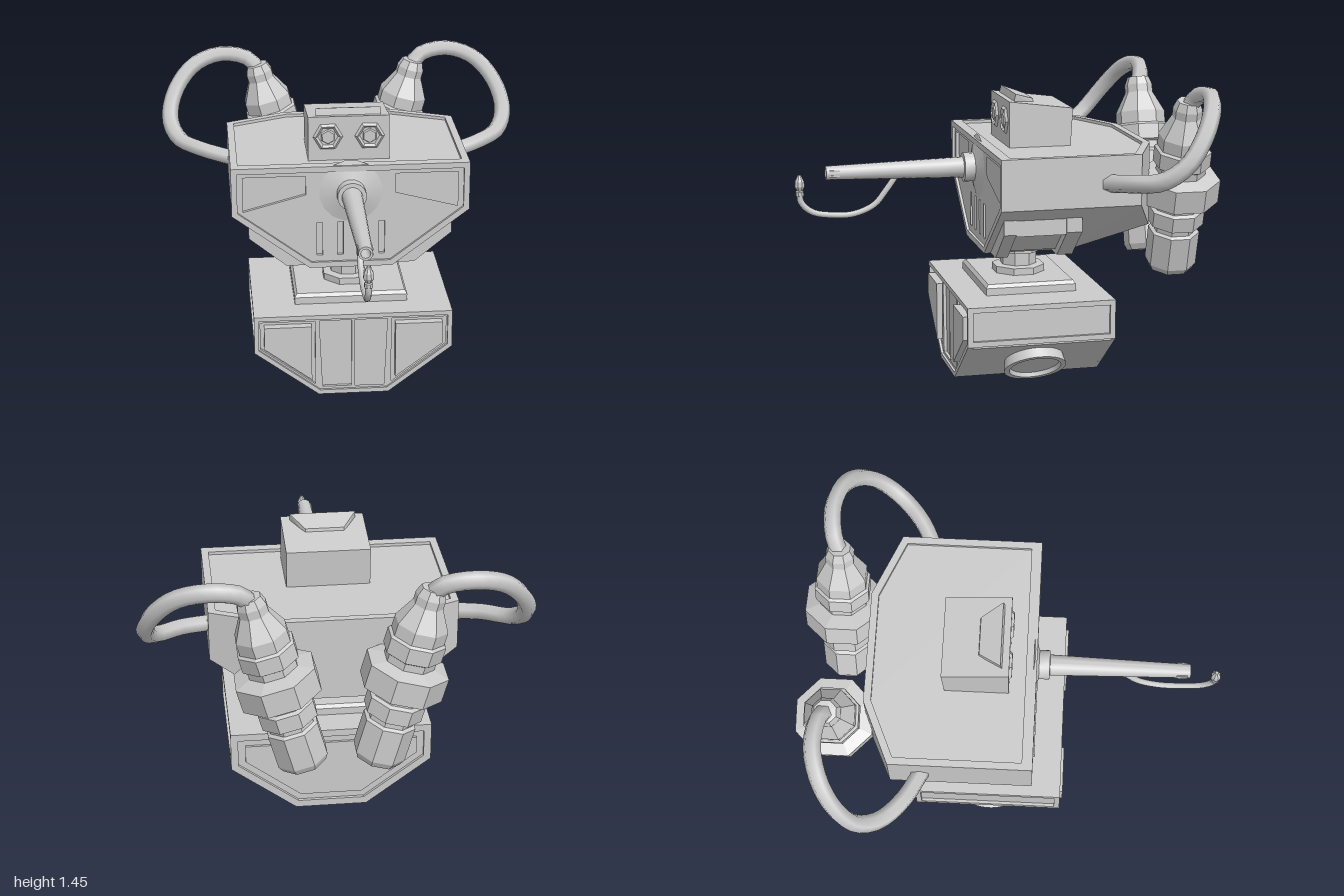
import * as THREE from 'three';
import { toCreasedNormals } from 'three/addons/utils/BufferGeometryUtils.js';
import { ConvexGeometry } from 'three/addons/geometries/ConvexGeometry.js';

const flat = new THREE.MeshStandardMaterial({ color: 0xcccccc, flatShading: true });
const smooth = new THREE.MeshStandardMaterial({ color: 0xcccccc });
const V2 = (p) => new THREE.Vector2(p[0], p[1]);
const V3 = (p) => new THREE.Vector3(...p);

// half outline (+x side) completed by its mirror image
const sym = (half) => [...half, ...half.map(([x, y]) => [-x, y]).reverse()];
const box2 = (x, y, w, h) => [[x - w / 2, y - h / 2], [x + w / 2, y - h / 2], [x + w / 2, y + h / 2], [x - w / 2, y + h / 2]];
const flipX = (pts, s) => pts.map(([x, y]) => [x * s, y]);

// move every edge of a convex outline inwards by d
function inset(pts, d) {
  let v = pts.map(V2);
  if (THREE.ShapeUtils.isClockWise(v)) v = v.reverse();
  const n = v.length;
  return v.map((p, i) => {
    const a = p.clone().sub(v[(i + n - 1) % n]).normalize();
    const b = v[(i + 1) % n].clone().sub(p).normalize();
    const k = d / (1 + a.dot(b));
    return [p.x - (a.y + b.y) * k, p.y + (a.x + b.x) * k];
  });
}

// slab from z0 to z1 with optional holes
function slab(pts, z0, z1, holes = []) {
  const shape = new THREE.Shape(pts.map(V2));
  shape.holes = holes.map((h) => new THREE.Path(h.map(V2)));
  return new THREE.ExtrudeGeometry(shape, { depth: z1 - z0, bevelEnabled: false }).translate(0, 0, z0);
}
const rim = (pts, z0, z1, w) => slab(pts, z0, z1, [inset(pts, w)]);
const hull = (half) => new ConvexGeometry(half.flatMap(([x, y, z]) => [V3([x, y, z]), V3([-x, y, z])]));
const lathe = (pts, sides) => new THREE.LatheGeometry(pts.map(V2), sides, Math.PI / sides);

export function createModel() {
  const model = new THREE.Group();
  const add = (name, geo, mat = flat, parent = model) => {
    const m = new THREE.Mesh(geo, mat);
    m.name = name;
    parent.add(m);
    return m;
  };

  // upper hull, chamfered towards the back
  add('upperHull', hull([
    [0.57, 1.155, 0.095], [0.57, 0.93, 0.095], [0.2, 0.65, 0.095],
    [0.57, 1.155, -0.54], [0.57, 0.93, -0.54], [0.2, 0.65, -0.3],
    [0.27, 1.155, -0.67], [0.27, 0.77, -0.67],
  ]));
  const topOutline = sym([[0.57, -0.11], [0.57, 0.54], [0.27, 0.67]]);
  add('topRim', rim(topOutline, 1.155, 1.17, 0.035).rotateX(-Math.PI / 2));
  const face = sym([[0.57, 1.17], [0.57, 0.93], [0.2, 0.65]]);
  const holes = [-0.15, -0.05, 0.05, 0.15].map((x) => box2(x, 0.795, 0.028, 0.17));
  for (const s of [1, -1]) holes.push(flipX([[0.215, 1.12], [0.515, 1.12], [0.515, 0.945], [0.215, 1.025]], s));
  add('frontPlate', slab(face, 0.095, 0.112, holes));
  add('frontRim', rim(face, 0.112, 0.125, 0.028));

  // head box with top flap and two hexagonal eyes
  add('head', hull([
    [0.195, 1.375, 0], [0.195, 1.155, 0], [0.195, 1.335, -0.31], [0.195, 1.155, -0.3],
  ]));
  add('headFlap', hull([
    [0.155, 1.36, -0.03], [0.155, 1.405, -0.04], [0.09, 1.372, -0.14], [0.09, 1.34, -0.145],
  ]));
  for (const s of [1, -1]) {
    add('eyeRing', new THREE.TorusGeometry(0.06, 0.012, 4, 6).translate(s * 0.1, 1.275, 0));
    add('eyeLens', new THREE.CylinderGeometry(0.032, 0.04, 0.016, 6).rotateX(Math.PI / 2).translate(s * 0.1, 1.275, 0.003));
  }

  // barrel with flared base, collar and hollow muzzle
  const barrel = [[0.16, 0.11], [0.085, 0.13], [0.07, 0.135], [0.07, 0.185], [0.05, 0.187],
    [0.047, 0.3], [0.033, 0.85], [0.022, 0.85], [0.02, 0.74], [0, 0.74]];
  add('barrel', toCreasedNormals(lathe(barrel, 16).rotateX(Math.PI / 2).translate(0, 1.035, 0), 0.6), smooth);
  for (const s of [1, -1]) for (const y of [1.023, 1.047])
    add('muzzleSlot', new THREE.BoxGeometry(0.008, 0.008, 0.05).translate(s * 0.031, y, 0.81));

  // curved feeler slung below the barrel
  const feeler = new THREE.CatmullRomCurve3([
    [0, 1.01, 0.51], [0, 0.94, 0.56], [0, 0.87, 0.62], [0, 0.83, 0.72],
    [0, 0.83, 0.83], [0, 0.85, 0.92], [0, 0.9, 0.97], [0, 0.95, 0.975],
  ].map(V3));
  add('feeler', new THREE.TubeGeometry(feeler, 28, 0.015, 8), smooth);
  add('feelerTip', lathe([[0, 0.925], [0.02, 0.93], [0.02, 0.95], [0.014, 0.955], [0.025, 0.975],
    [0.023, 1.0], [0.008, 1.03], [0, 1.032]], 8).translate(0, 0, 0.975));

  // neck and stepped base plate
  add('neck', lathe([[0.13, 0.5], [0.13, 0.545], [0.09, 0.55], [0.09, 0.61], [0.115, 0.615],
    [0.115, 0.635], [0.13, 0.64], [0.13, 0.68]], 8).translate(0, 0, -0.09));
  add('neckPlate', hull([0.13, -0.31].flatMap((z) => {
    const t = z > 0 ? -0.012 : 0.012;
    return [[0.275, 0.45, z], [0.275, 0.495, z], [0.263, 0.512, z + t]];
  })));

  // lower hull with framed front, back and sides
  const low = sym([[0.48, 0.46], [0.48, 0.27], [0.17, 0.035]]);
  add('lowerHull', slab(sym([[0.465, 0.46], [0.465, 0.2587], [0.17, 0.035]]), -0.435, 0.238));
  const centrePanel = [[0.008, 0.425], [0.165, 0.425], [0.15, 0.07], [0.008, 0.07]];
  const sidePanel = [[0.185, 0.425], [0.45, 0.425], [0.45, 0.285], [0.185, 0.085]];
  add('lowerFrontPlate', slab(low, 0.238, 0.253, [1, -1].flatMap((s) => [flipX(centrePanel, s), flipX(sidePanel, s)])));
  add('lowerFrontRim', rim(low, 0.253, 0.265, 0.022));
  add('lowerBackRim', rim(low, -0.45, -0.435, 0.035));
  add('lowerBackPanel', slab(inset(low, 0.07), -0.447, -0.434));

  for (const s of [1, -1]) {
    add('lowerFrontPanel', slab(flipX(inset(sidePanel, 0.018), s), 0.237, 0.278));
    const frame = rim(box2(0.0925, 0.365, 0.715, 0.19), -0.0075, 0.0075, 0.025);
    add('lowerSideFrame', frame.rotateY(Math.PI / 2).translate(s * 0.4725, 0, 0));

    // round dish on the slanted underside
    const dish = add('dish', toCreasedNormals(lathe([[0.14, -0.01], [0.15, 0.05], [0.125, 0.05], [0.118, 0.03], [0, 0.03]], 32), 0.5), smooth);
    dish.position.set(s * 0.325, 0.152, -0.09);
    dish.rotation.z = -s * (Math.PI - Math.atan2(0.31, 0.235) + Math.PI * 0.0 - 0.28);
    dish.quaternion.setFromUnitVectors(new THREE.Vector3(0, 1, 0), new THREE.Vector3(s * 0.604, -0.797, 0).normalize());

    // vent box below the shoulder: two cheeks, a lip and a recessed block
    const cheek = flipX([[0.45, 0.9], [0.49, 0.9], [0.49, 0.8], [0.31, 0.652], [0.2, 0.652]], s);
    add('ventCheek', slab(cheek, 0.035, 0.094));
    add('ventCheek', slab(cheek, -0.28, -0.205));
    add('ventBlock', slab(flipX([[0.45, 0.9], [0.485, 0.9], [0.485, 0.79], [0.42, 0.79], [0.28, 0.675], [0.2, 0.66]], s), -0.205, 0.035));

    // tilted octagonal canister behind the hull
    const k = 1 / Math.cos(Math.PI / 8);
    const profile = [[0, 0], [0.1, 0], [0.115, 0.03], [0.115, 0.2], [0.1, 0.21], [0.1, 0.235], [0.127, 0.245],
      [0.127, 0.32], [0.11, 0.33], [0.11, 0.365], [0.18, 0.375], [0.18, 0.49], [0.11, 0.51], [0.11, 0.545],
      [0.127, 0.555], [0.127, 0.63], [0.115, 0.64], [0.115, 0.7], [0.065, 0.8], [0.065, 0.84], [0.05, 0.88], [0, 0.885]];
    const canister = add('canister', lathe(profile.map(([r, y]) => [r * k, y]), 8));
    canister.position.set(s * 0.168, 0.535, -0.815);
    canister.rotation.z = -s * 0.27;

    // hose looping from canister to hull side
    const hose = new THREE.CatmullRomCurve3([
      [0.395, 1.35, -0.815], [0.44, 1.405, -0.84], [0.58, 1.432, -0.855], [0.72, 1.39, -0.82],
      [0.82, 1.28, -0.75], [0.853, 1.16, -0.66], [0.81, 1.085, -0.56], [0.7, 1.06, -0.46], [0.54, 1.035, -0.38],
    ].map(([x, y, z]) => new THREE.Vector3(s * x, y, z)));
    add('hose', new THREE.TubeGeometry(hose, 26, 0.042, 6), smooth);
  }
  return model;
}
